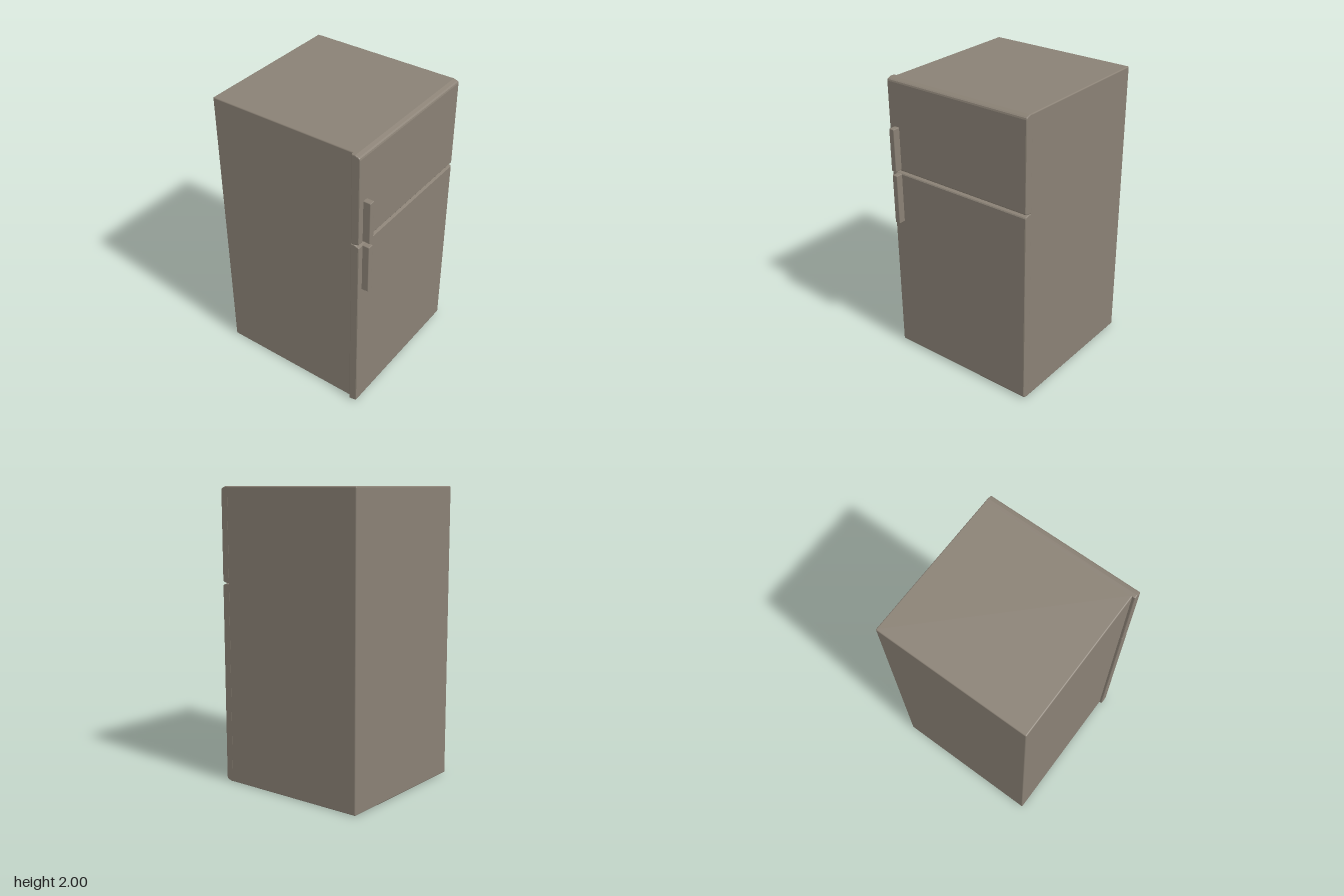
import * as THREE from 'three';
import { RoundedBoxGeometry } from 'three/addons/geometries/RoundedBoxGeometry.js';

const enamel = new THREE.MeshStandardMaterial({ color: 0x8a8175 });
enamel.name = 'warm grey enamel';

const LEFT = 0.54, RIGHT = -0.545, BACK_Z = 0.465;

function part(name, geometry) {
  const mesh = new THREE.Mesh(geometry, enamel);
  mesh.name = name;
  return mesh;
}

// Door: a side profile of [z, y] points, extruded across the width with softened ends
function door(name, profile) {
  const bevel = 0.006;
  const shape = new THREE.Shape(profile.map(([z, y]) => new THREE.Vector2(-z, y)));
  const geometry = new THREE.ExtrudeGeometry(shape, {
    depth: LEFT - RIGHT - 2 * bevel,
    bevelEnabled: true, bevelThickness: bevel, bevelSize: bevel, bevelOffset: -bevel, bevelSegments: 2,
  });
  geometry.rotateY(Math.PI / 2);
  geometry.translate(RIGHT + bevel, 0, 0);
  return part(name, geometry);
}

// Slim upright bar handle
function handle(name, bottom, top, front) {
  const back = 0.515;
  const geometry = new RoundedBoxGeometry(0.04, top - bottom, front - back, 2, 0.005);
  geometry.translate(-0.485, (bottom + top) / 2, (front + back) / 2);
  return part(name, geometry);
}

export function createModel() {
  const fridge = new THREE.Group();
  fridge.name = 'refrigerator';

  // Cabinet, set in slightly on the handle side
  const x0 = -0.525, z0 = -0.575, z1 = 0.475;
  const cabinet = new RoundedBoxGeometry(LEFT - x0, 2, z1 - z0, 3, 0.008);
  cabinet.translate((LEFT + x0) / 2, 1, (z0 + z1) / 2);
  fridge.add(part('cabinet', cabinet));

  // Doors, sloped at top and bottom and meeting in a narrow V-shaped seam
  fridge.add(door('lowerDoor', [
    [BACK_Z, 0], [0.49, 0], [0.513, 0.008], [0.522, 0.014], [0.525, 0.024],
    [0.525, 1.35], [0.52, 1.357], [0.508, 1.36], [0.492, 1.366], [BACK_Z, 1.366],
  ]));
  fridge.add(door('upperDoor', [
    [BACK_Z, 1.367], [0.492, 1.367], [0.508, 1.372], [0.52, 1.376], [0.525, 1.384],
    [0.525, 1.976], [0.522, 1.986], [0.513, 1.992], [0.49, 2], [BACK_Z, 2],
  ]));

  // Handles
  fridge.add(handle('upperHandle', 1.385, 1.68, 0.575));
  fridge.add(handle('lowerHandle', 1.005, 1.355, 0.572));

  return fridge;
}
